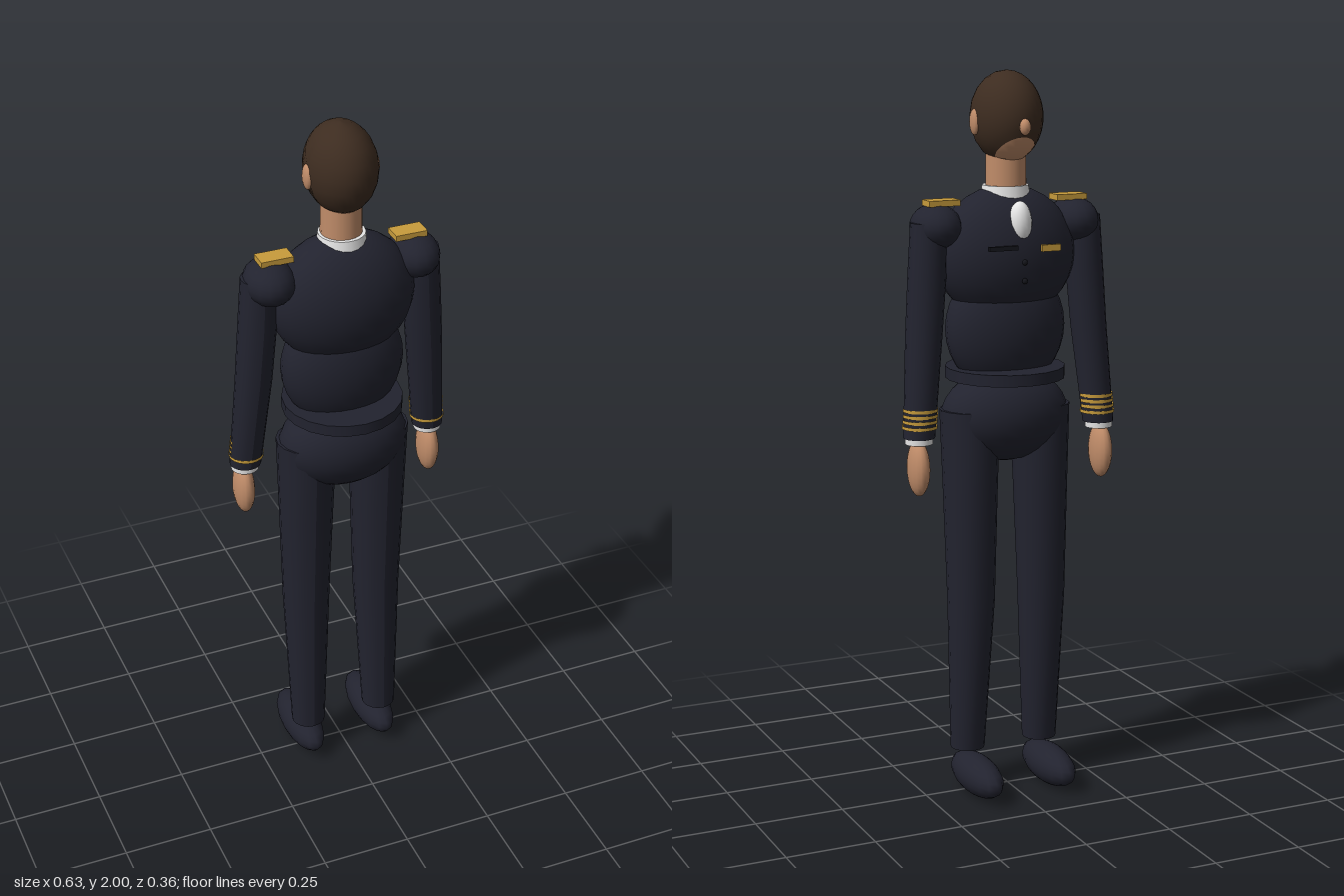
import * as THREE from 'three';

const paint = (name, color) => Object.assign(new THREE.MeshStandardMaterial({ color }), { name });

export function createModel() {
  const model = new THREE.Group();
  model.name = 'uniformedFigure';
  const navy = paint('navy cloth', 0x22232f);
  const dark = paint('dark trim', 0x16171d);
  const gold = paint('gold braid', 0xc89c3c);
  const skin = paint('skin', 0xc08c69);
  const brown = paint('brown hair', 0x3d2c20);
  const white = paint('white linen', 0xe6e6e6);
  const band = white.clone();
  band.name = 'white cuff linen';
  band.side = THREE.DoubleSide;
  const braid = gold.clone();
  braid.name = 'gold braid open';
  braid.side = THREE.DoubleSide;

  const add = (name, geo, mat, x = 0, y = 0, z = 0) => {
    const m = new THREE.Mesh(geo, mat);
    m.name = name;
    m.position.set(x, y, z);
    model.add(m);
    return m;
  };
  const ball = (name, mat, [x, y, z], [rx, ry, rz], w = 24, h = 16) =>
    add(name, new THREE.SphereGeometry(1, w, h).scale(rx, ry, rz), mat, x, y, z);
  const box = (name, mat, [x, y, z], [w, h, d]) =>
    add(name, new THREE.BoxGeometry(w, h, d), mat, x, y, z);

  // Round limb through sections [x, y, z, radius], listed from top to bottom
  const limb = (name, mat, rows, side) => {
    const n = rows.length - 1;
    const geo = new THREE.CylinderGeometry(1, 1, 1, 16, n);
    const p = geo.attributes.position;
    for (let i = 0; i < p.count; i++) {
      const [x, y, z, r] = rows[Math.round((0.5 - p.getY(i)) * n)];
      p.setXYZ(i, side * x + p.getX(i) * r, y, z + p.getZ(i) * r);
    }
    geo.computeVertexNormals();
    return add(name, geo, mat);
  };

  // Torso
  ball('chest', navy, [0, 1.51, 0.015], [0.2, 0.185, 0.127]);
  ball('abdomen', navy, [0, 1.31, 0.015], [0.172, 0.18, 0.106]);
  ball('hips', navy, [0, 1.067, 0.02], [0.183, 0.13, 0.122]);
  add('belt', new THREE.CylinderGeometry(1, 1, 0.032, 20).scale(0.164, 1, 0.164), navy, 0, 1.187, 0.016);

  // Collar, shirt front and chest details
  add('neck', new THREE.CylinderGeometry(0.054, 0.056, 0.14, 20), skin, 0, 1.725, 0.01);
  add('collar', new THREE.CylinderGeometry(0.063, 0.07, 0.045, 20), white, 0, 1.673, 0.013);
  ball('shirtFront', white, [0, 1.6, -0.08], [0.032, 0.06, 0.033], 16, 12);
  box('badge', gold, [-0.077, 1.535, -0.111], [0.054, 0.018, 0.009]);
  box('chestPocket', dark, [0.062, 1.54, -0.111], [0.082, 0.012, 0.009]);
  for (const y of [1.5, 1.45]) ball('button', dark, [0, y, -0.112], [0.008, 0.008, 0.006], 10, 8);

  // Head faces -z
  ball('head', skin, [0, 1.875, 0.005], [0.09, 0.122, 0.112], 28, 20);
  ball('nose', skin, [0, 1.857, -0.112], [0.015, 0.022, 0.016], 12, 10);

  // Hair cap whose lower edge rises from the nape to the forehead
  const hair = new THREE.SphereGeometry(1, 36, 12, 0, Math.PI * 2, 0, Math.PI / 2);
  const hp = hair.attributes.position, uv = hair.attributes.uv;
  const cy = 1.877, ry = 0.123;
  for (let i = 0; i < hp.count; i++) {
    const phi = uv.getX(i) * Math.PI * 2;
    const back = Math.sin(phi);
    const rise = back < 0.15 ? 0.1 * Math.pow((0.15 - back) / 1.15, 0.6) : 0;
    const t = (1 - uv.getY(i)) * 2 * Math.acos((1.845 + rise - cy) / ry);
    hp.setXYZ(i, -Math.cos(phi) * Math.sin(t) * 0.095, Math.cos(t) * ry, back * Math.sin(t) * 0.115);
  }
  // The sphere's rows run over v from 1 (crown) to 0 (rim)
  hair.computeVertexNormals();
  const cap = brown;
  cap.side = THREE.DoubleSide;
  add('hair', hair, cap, 0, cy, 0.006);

  for (const s of [1, -1]) {
    ball('ear', skin, [s * 0.092, 1.865, 0.008], [0.012, 0.035, 0.023], 14, 10);

    // Shoulder, sleeve and shoulder board
    ball('shoulder', navy, [s * 0.203, 1.592, 0.015], [0.068, 0.061, 0.085], 16, 12);
    box('shoulderBoard', gold, [s * 0.187, 1.655, 0.013], [0.089, 0.016, 0.053]);
    limb('sleeve', navy, [
      [0.226, 1.605, 0.006, 0.05], [0.234, 1.46, 0.004, 0.052],
      [0.246, 1.3, 0, 0.05], [0.269, 1.03, -0.018, 0.043],
    ], s);

    // Cuff braid: one full ring, then three bands around the front
    const ring = (name, y, start, length, mat) => add(name,
      new THREE.CylinderGeometry(0.0475, 0.0475, 0.009, 24, 1, true, start, length),
      mat, s * (0.269 - (y - 1.03) * 0.085), y, -0.018 + (y - 1.03) * 0.067);
    ring('cuffRing', 1.06, 0, Math.PI * 2, braid);
    for (const y of [1.076, 1.091, 1.106])
      ring('cuffBand', y, (s > 0 ? 80 : 90) * Math.PI / 180, 190 * Math.PI / 180, braid);
    add('shirtCuff', new THREE.CylinderGeometry(0.038, 0.038, 0.02, 20), band, s * 0.27, 1.024, -0.019);
    ball('hand', skin, [s * 0.274, 0.948, -0.023], [0.028, 0.078, 0.05], 16, 14);

    // Trouser leg and shoe
    limb('leg', navy, [
      [0.105, 1.09, 0.017, 0.083], [0.106, 0.85, 0.013, 0.075],
      [0.107, 0.55, 0.008, 0.066], [0.111, 0.117, 0.027, 0.048],
    ], s);
    ball('shoe', navy, [s * 0.111, 0.055, -0.039], [0.053, 0.055, 0.138], 16, 12);
  }
  return model;
}
